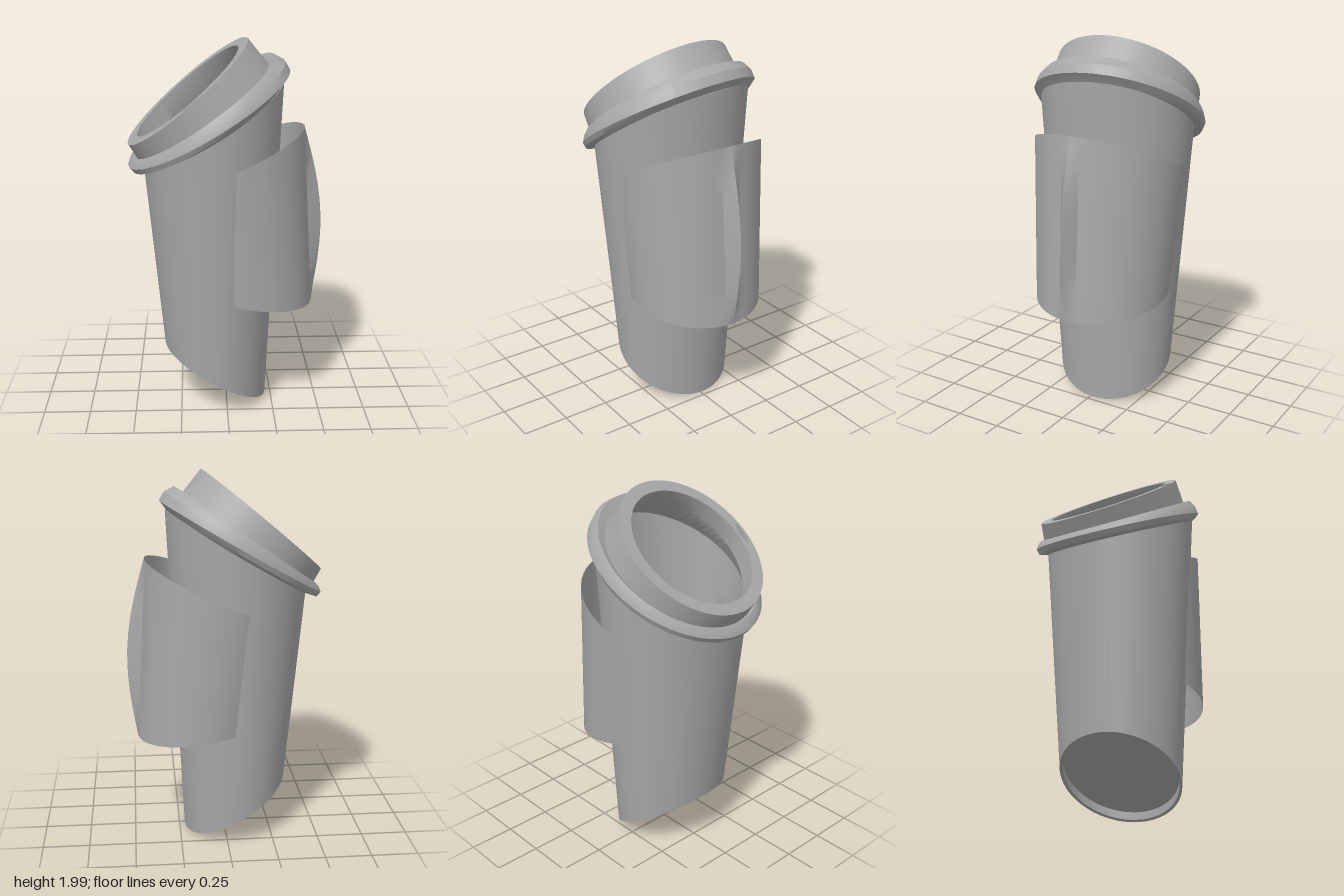
import * as THREE from 'three';
import { toCreasedNormals } from 'three/addons/utils/BufferGeometryUtils.js';

const SEG = 64;

// A slanted ring: its left and right ends in the xy plane, half width in z, slope along z, z centre
const ring = (lx, ly, rx, ry, rz, slope = 0, cz = 0) => (u, v) => [
  (lx + rx) / 2 + u * (rx - lx) / 2,
  (ly + ry) / 2 + u * (ry - ly) / 2 + slope * rz * v,
  cz + v * rz,
];

// Skin through a list of rings
function loft(rings, seg = SEG, bump = null) {
  const pos = [], idx = [];
  rings.forEach((r, i) => {
    for (let j = 0; j < seg; j++) {
      const a = (j / seg) * Math.PI * 2;
      const p = r(Math.cos(a), Math.sin(a));
      if (bump) p[0] += bump(i / (rings.length - 1), j);
      pos.push(...p);
    }
  });
  for (let i = 0; i < rings.length - 1; i++) {
    for (let j = 0; j < seg; j++) {
      const k = (j + 1) % seg;
      const a = i * seg + j, b = a + seg, c = i * seg + k, d = c + seg;
      idx.push(a, b, c, c, b, d);
    }
  }
  const g = new THREE.BufferGeometry();
  g.setAttribute('position', new THREE.Float32BufferAttribute(pos, 3));
  g.setIndex(idx);
  return toCreasedNormals(g, 0.5);
}

// Flat shape in unit-circle coordinates laid onto a ring's plane
function onRing(shape, r) {
  const g = new THREE.ShapeGeometry(shape, SEG / 2);
  const p = g.attributes.position;
  for (let i = 0; i < p.count; i++) p.setXYZ(i, ...r(p.getX(i), -p.getY(i)));
  g.computeVertexNormals();
  return g;
}

const circle = (Type, r) => new Type().absarc(0, 0, r, 0, Math.PI * 2, false);

export function createModel() {
  const model = new THREE.Group();
  const grey = new THREE.MeshStandardMaterial({ color: 0xa8a8a8, side: THREE.DoubleSide });
  grey.name = 'grey';
  const add = (name, geometry) => {
    const m = new THREE.Mesh(geometry, grey);
    m.name = name;
    model.add(m);
  };

  // Cup wall, outside and inside, between a base and a mouth that slant opposite ways
  const base = ring(-0.34, 0.32, 0.22, 0.01, 0.322, 0.06);
  const baseInner = ring(-0.325, 0.315, 0.21, 0.02, 0.307, 0.06);
  const mouth = ring(-0.44, 1.36, 0.305, 1.79, 0.42, -0.08);
  const mouthInner = ring(-0.42, 1.37, 0.288, 1.79, 0.405, -0.08);
  add('cupWall', loft([baseInner, base, mouth, mouthInner]));
  const floor = ring(-0.325, 0.36, 0.21, 0.06, 0.307, 0.06);
  add('cupInnerWall', loft([mouthInner, floor, baseInner]));
  add('cupFloor', onRing(circle(THREE.Shape, 1), floor));

  // Lid: rolled brim, groove and raised wall, tilting more towards the top
  const T = -0.08;
  const lidTop = ring(-0.52, 1.465, 0.115, 1.998, 0.4, T, 0.01);
  add('lidWall', loft([
    ring(-0.43, 1.345, 0.29, 1.77, 0.415, T),
    ring(-0.50, 1.32, 0.305, 1.80, 0.452, T),
    ring(-0.52, 1.345, 0.335, 1.84, 0.465, T),
    ring(-0.51, 1.372, 0.308, 1.885, 0.455, T),
    ring(-0.49, 1.395, 0.255, 1.912, 0.435, T),
    ring(-0.475, 1.39, 0.22, 1.87, 0.41, T),
    lidTop,
  ]));

  // Lid top: a flat band with a wide opening and a sip hole
  const HOLE = 0.84;
  const band = circle(THREE.Shape, 1);
  const sip = new THREE.Path().absellipse(0.04, -0.92, 0.14, 0.045, 0, Math.PI * 2, false);
  band.holes.push(circle(THREE.Path, HOLE), sip);
  add('lidTop', onRing(band, lidTop));

  // Inside of the lid, running down to the cup mouth
  add('lidInnerWall', loft([
    (u, v) => lidTop(u * HOLE, v * HOLE),
    ring(-0.41, 1.41, 0.12, 1.88, 0.345, T),
    mouthInner,
  ]));

  // Loose sleeve shifted sideways, with a sharp bulging fold along its seam
  const ROWS = 12, mix = THREE.MathUtils.lerp;
  const low = [-0.25, 0.686, 0.475, 0.567, 0.365];
  const high = [-0.35, 1.20, 0.42, 1.54, 0.405];
  const sleeveRings = [];
  for (let i = 0; i <= ROWS; i++) {
    sleeveRings.push(ring(...low.map((v, k) => mix(v, high[k], i / ROWS)), 0, -0.02));
  }
  add('sleeve', loft(sleeveRings, 48, (t, j) => (j === 0 ? 0.072 * Math.sin(Math.PI * t) : 0)));

  return model;
}
